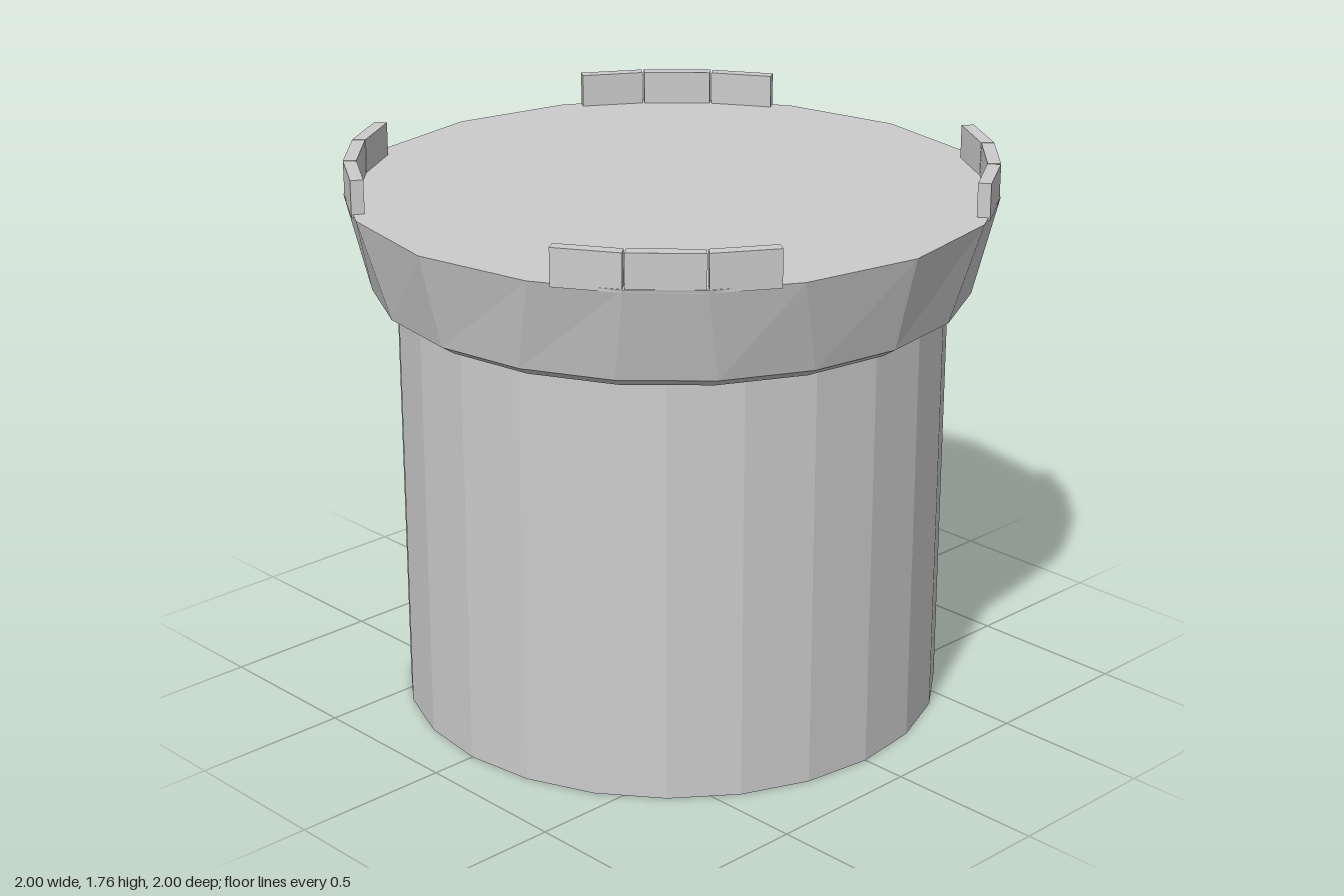
import * as THREE from 'three';

const mat = new THREE.MeshStandardMaterial({ color: 0xcccccc, flatShading: true });
const V = (pts) => pts.map(([x, y]) => new THREE.Vector2(x, y));

// Twenty corner angles from five angles in one quadrant
const corners = (quadrant) =>
  [0, 1, 2, 3].flatMap((q) => quadrant.map((a) => THREE.MathUtils.degToRad(a + 90 * q)));

// Skin between rings listed from bottom to top, closed by a flat cap on top
function loft(rings) {
  const pos = [], index = [], n = rings[0].angles.length;
  for (const { angles, r, y } of rings)
    for (const a of angles) pos.push(Math.sin(a) * r, y, Math.cos(a) * r);
  for (let k = 0; k < rings.length - 1; k++)
    for (let i = 0; i < n; i++) {
      const a = k * n + i, b = k * n + (i + 1) % n;
      index.push(a, b, b + n, a, b + n, a + n);
    }
  const top = (rings.length - 1) * n, centre = pos.length / 3;
  pos.push(0, rings[rings.length - 1].y, 0);
  for (let i = 0; i < n; i++) index.push(top + i, top + (i + 1) % n, centre);
  const g = new THREE.BufferGeometry();
  g.setAttribute('position', new THREE.Float32BufferAttribute(pos, 3));
  g.setIndex(index);
  g.computeVertexNormals();
  return g;
}

export function createModel() {
  const model = new THREE.Group();
  const add = (name, geometry, parent = model) => {
    const mesh = new THREE.Mesh(geometry, mat);
    mesh.name = name;
    parent.add(mesh);
    return mesh;
  };

  // Hollow drum, open below, its wall thinning to the lower rim
  add('body', new THREE.LatheGeometry(V([
    [0, 1.64], [0.8, 1.64], [0.8, 0.46], [0.85, 0], [0.855, 0], [0.855, 1.36],
  ]), 24));

  // Central tube hanging from the lid, with a flange and a countersunk bore
  add('centreHub', new THREE.LatheGeometry(V([
    [0, 1.6], [0.115, 1.6], [0.115, 0.5], [0.186, 0.48], [0.36, 0.48],
    [0.36, 0.52], [0.17, 0.54], [0.17, 1.64],
  ]), 24));

  // Flared lid with a chamfered lower edge
  const upper = corners([0, 22.3, 38.2, 51.8, 67.7]);
  const lower = corners([0, 18, 36, 54, 72]);
  add('lid', loft([
    { angles: lower, r: 0.85, y: 1.33 },
    { angles: lower, r: 0.88, y: 1.33 },
    { angles: lower, r: 0.925, y: 1.36 },
    { angles: upper, r: 1, y: 1.655 },
  ]));

  // Four curved tabs of three upright panels each
  const outer = V([[0.44, 0.895], [0.618, 0.783], [0.783, 0.618], [0.895, 0.44]]);
  const inner = V([[0.418, 0.862], [0.592, 0.752], [0.752, 0.592], [0.862, 0.418]]);
  for (let q = 0; q < 4; q++) {
    const tab = new THREE.Group();
    tab.name = 'rimTab';
    for (let i = 0; i < 3; i++) {
      const near = i === 0 ? 0 : 0.015, far = i === 2 ? 1 : 0.985;
      const at = (row, t) => row[i].clone().lerp(row[i + 1], t);
      const shape = new THREE.Shape([at(outer, near), at(outer, far), at(inner, far), at(inner, near)]);
      const g = new THREE.ExtrudeGeometry(shape, { depth: 0.115, bevelEnabled: false });
      g.rotateX(-Math.PI / 2).translate(0, 1.645, 0);
      add('tabPanel', g, tab);
    }
    tab.rotation.y = q * Math.PI / 2;
    model.add(tab);
  }
  return model;
}
